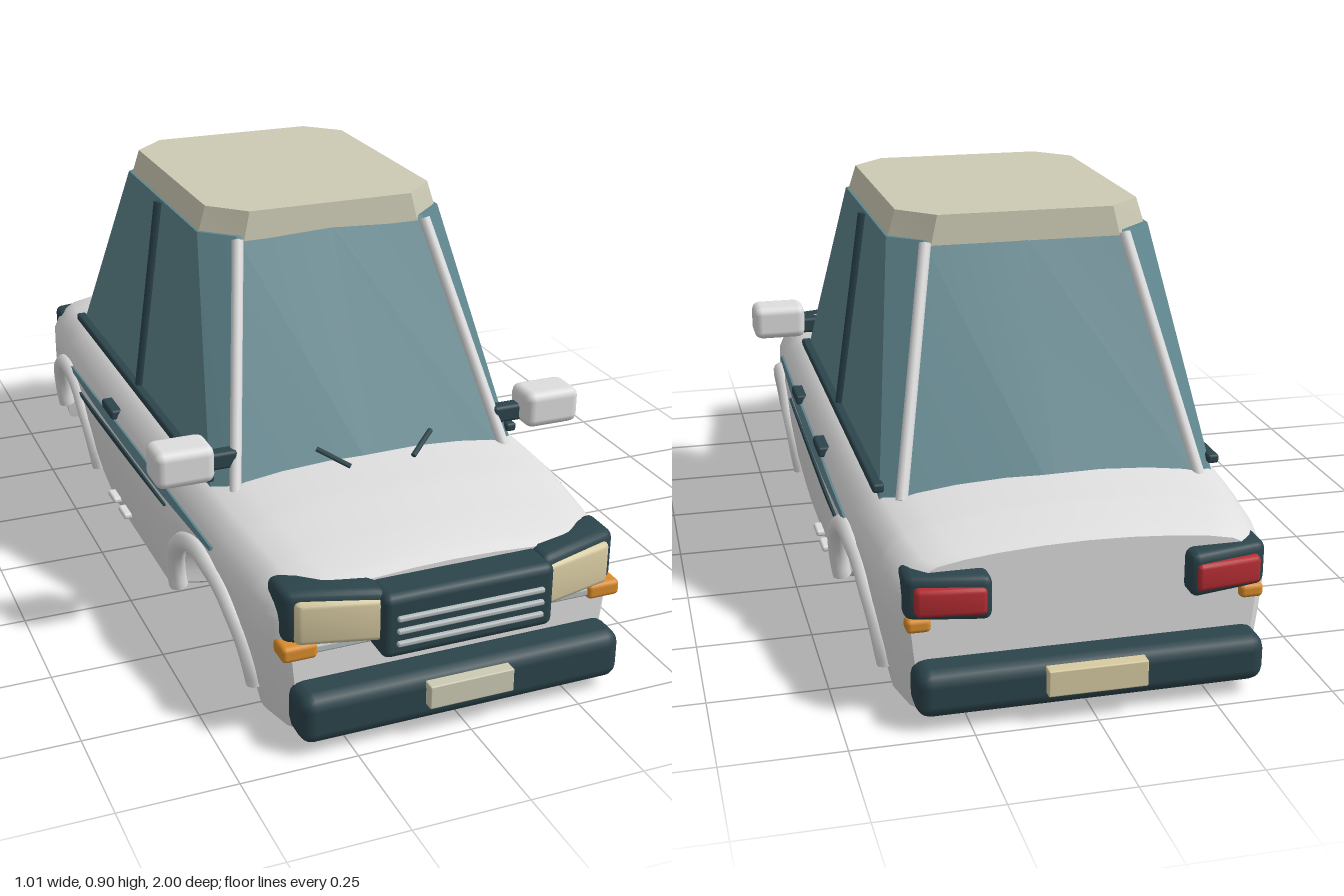
import * as THREE from 'three';
import { toCreasedNormals } from 'three/addons/utils/BufferGeometryUtils.js';
import { RoundedBoxGeometry } from 'three/addons/geometries/RoundedBoxGeometry.js';

const material = (name, color) => {
  const m = new THREE.MeshStandardMaterial({ color });
  m.name = name;
  return m;
};

// Linear lookup in a table of [key, value] pairs
function lookup(table, k) {
  let i = 1;
  while (i < table.length - 1 && k > table[i][0]) i++;
  const [a, va] = table[i - 1], [b, vb] = table[i];
  return va + (vb - va) * THREE.MathUtils.clamp((k - a) / (b - a), 0, 1);
}

// Skin a series of closed cross-sections, with capped ends
function loft(rings, crease = 0.6) {
  const n = rings[0].length, pos = [], index = [];
  rings.forEach(r => r.forEach(p => pos.push(...p)));
  for (let i = 0; i < rings.length - 1; i++) {
    for (let j = 0; j < n; j++) {
      const k = (j + 1) % n, a = i * n + j, b = i * n + k;
      index.push(a, b, a + n, b, b + n, a + n);
    }
  }
  [0, rings.length - 1].forEach(e => {
    const c = pos.length / 3;
    pos.push(...[0, 1, 2].map(d => rings[e].reduce((s, p) => s + p[d], 0) / n));
    for (let j = 0; j < n; j++) {
      const a = e * n + j, b = e * n + (j + 1) % n;
      if (e) index.push(c, a, b); else index.push(c, b, a);
    }
  });
  const g = new THREE.BufferGeometry();
  g.setAttribute('position', new THREE.Float32BufferAttribute(pos, 3));
  g.setIndex(index);
  return toCreasedNormals(g, crease);
}

// Body plan width, crown height and side curvature
const WIDTH = [[-.91, .36], [-.88, .385], [-.8, .405], [-.6, .425], [-.3, .43], [.3, .43], [.6, .425], [.8, .4], [.87, .38], [.9, .355]];
const CROWN = [[-.91, .348], [-.87, .362], [-.78, .382], [-.62, .4], [.48, .4], [.65, .393], [.8, .372], [.87, .355], [.9, .342]];
const SIDE = [[0, .93], [.1, .97], [.2, 1], [.27, 1], [.31, .965], [.345, .9], [.36, .85]];
const sideX = (z, y) => lookup(WIDTH, z) * lookup(SIDE, y);
const ARCH_Z = [-.565, .55];

function bodyGeometry() {
  const stations = [[-.91, 0], [-.895, 0], [-.88, 0], [-.84, 0], [-.795, 0]];
  const arch = c => {
    for (let k = 0; k <= 20; k++) {
      const a = Math.PI * (1 - k / 20);
      stations.push([c + .215 * Math.cos(a), .06 + .19 * Math.sin(a)]);
    }
  };
  arch(ARCH_Z[0]);
  stations.push([-.24, 0], [-.1, 0], [.1, 0], [.23, 0]);
  arch(ARCH_Z[1]);
  stations.push([.775, 0], [.8, 0], [.84, 0], [.87, 0], [.885, 0], [.9, 0]);
  return loft(stations.map(([z, yb]) => {
    const w = lookup(WIDTH, z), top = lookup(CROWN, z);
    const lift = y => y > .25 ? .25 + (y - .25) * (top - .25) / .15 : y;
    const half = [[.75 * w, yb], [sideX(z, yb + .02) * .985, yb + .015]];
    for (let k = 1; k <= 4; k++) {
      const y = yb + .015 + (.27 - yb - .015) * k / 4;
      half.push([sideX(z, y), lift(y)]);
    }
    for (const y of [.29, .31, .328, .345, .36]) half.push([sideX(z, y), lift(y)]);
    half.push([.7 * w, lift(.376)], [.5 * w, lift(.388)], [.25 * w, lift(.397)]);
    const mirrored = half.slice().reverse().map(([x, y]) => [-x, y]);
    return [[0, yb], ...half, [0, top], ...mirrored].map(([x, y]) => [x, y, z]);
  }));
}

// Eight-cornered horizontal ring with bowed front and back
function octagon(y, xEnd, xSide, zFront, zSideF, zSideR, zRear, bow = 0) {
  const half = [[xEnd, zFront], [xSide, zSideF], [xSide, zSideR], [xEnd, zRear]];
  return [[0, zFront + bow], ...half, [0, zRear - bow], ...half.slice().reverse().map(([x, z]) => [-x, z])]
    .map(([x, z]) => [x, y, z]);
}

// Narrow band that follows the side of the body
function stripeGeometry(z0, z1, y0, y1, h) {
  const rings = [];
  for (let k = 0; k <= 14; k++) {
    const t = k / 14, z = z0 + (z1 - z0) * t, y = y0 + (y1 - y0) * t;
    const r = h * (.35 + .65 * Math.sin(Math.PI * t)) / 2;
    const lo = sideX(z, y - r), hi = sideX(z, y + r);
    rings.push([[lo - .004, y - r, z], [lo + .005, y - r, z], [hi + .005, y + r, z], [hi - .004, y + r, z]]);
  }
  return loft(rings);
}

function rodGeometry(a, b, r, sides = 10) {
  const A = new THREE.Vector3(...a), B = new THREE.Vector3(...b), d = B.clone().sub(A);
  const g = new THREE.CylinderGeometry(r, r, d.length(), sides);
  g.applyQuaternion(new THREE.Quaternion().setFromUnitVectors(new THREE.Vector3(0, 1, 0), d.normalize()));
  const m = A.add(B).multiplyScalar(.5);
  return g.translate(m.x, m.y, m.z);
}

// Rounded box, optionally swept back towards its outer end
function block(w, h, d, x, y, z, radius = .01, sweep = 0) {
  let g = new RoundedBoxGeometry(w, h, d, 2, radius);
  if (sweep) {
    const p = g.attributes.position;
    for (let i = 0; i < p.count; i++) p.setZ(i, p.getZ(i) - sweep * p.getX(i));
    g = toCreasedNormals(g, .6);
  }
  return g.translate(x, y, z);
}

export function createModel() {
  const car = new THREE.Group();
  car.name = 'car';
  const paint = material('whitePaint', 0xdedede);
  const glass = material('tealGlass', 0x5e858d);
  const trim = material('darkTrim', 0x2b444b);
  const cream = material('creamRoof', 0xcccab4);
  const lamp = material('headlightCream', 0xd8cba2);
  const amber = material('amber', 0xd98c2b);
  const red = material('tailRed', 0xb52d33);
  const metal = material('paleMetal', 0xb4bcbd);

  const add = (name, geometry, mat) => {
    const m = new THREE.Mesh(geometry, mat);
    m.name = name;
    car.add(m);
    return m;
  };
  const pair = (name, geometry, mat) => {
    add(name + 'Left', geometry, mat);
    add(name + 'Right', geometry, mat).scale.x = -1;
  };

  // Shell, cabin and roof
  add('body', bodyGeometry(), paint);
  add('cabinGlass', loft([
    octagon(.34, .325, .368, .5, .455, -.63, -.665, .03),
    octagon(.85, .225, .295, .24, .175, -.36, -.415, .005)], .12), glass);
  add('roof', loft([
    octagon(.84, .21, .292, .247, .17, -.35, -.425),
    octagon(.905, .195, .272, .242, .165, -.345, -.42)], .2), cream);
  pair('frontPillar', rodGeometry([.325, .36, .495], [.226, .845, .25], .013), paint);
  pair('rearPillar', rodGeometry([.325, .36, -.655], [.222, .845, -.42], .013), paint);
  pair('centrePillar', rodGeometry([.366, .37, -.09], [.3, .845, -.095], .012, 6), trim);
  pair('beltTrim', block(.025, .02, 1.08, .368, .381, -.09, .006), trim);
  pair('wiper', rodGeometry([.075, .4, .54], [.137, .433, .495], .006, 6), trim);

  // Wheel arch lips hugging the sides
  ARCH_Z.forEach((c, i) => {
    const pts = [];
    for (let k = 0; k <= 16; k++) {
      const a = Math.PI * k / 16, z = c + .222 * Math.cos(a), y = .065 + .197 * Math.sin(a);
      pts.push(new THREE.Vector3(sideX(z, y) - .004, y, z));
    }
    const curve = new THREE.CatmullRomCurve3(pts);
    const lip = new THREE.TubeGeometry(curve, 40, .022, 10);
    pair(i ? 'frontArch' : 'rearArch', lip, paint);
    const ends = new THREE.CircleGeometry(.022, 10).rotateX(Math.PI / 2);
    [pts[0], pts[16]].forEach(p => pair('archEnd', ends.clone().translate(p.x, p.y, p.z), paint));
  });

  // Side details
  pair('upperStripe', stripeGeometry(-.53, .6, .277, .295, .022), glass);
  pair('lowerStripe', stripeGeometry(-.56, .32, .236, .268, .014), trim);
  [.228, -.155].forEach(z => pair('doorHandle', block(.03, .024, .09, .418, .308, z, .006), trim));
  [-.07, -.163].forEach(z => pair('sillPeg', block(.025, .015, .058, .417, .062, z, .006), paint));
  pair('mirrorStem', block(.09, .04, .035, .355, .428, .455, .008), trim);
  pair('mirror', block(.132, .085, .095, .439, .443, .468, .02), paint);

  // Nose
  add('frontBumper', block(.72, .11, .1, 0, .08, .928, .03), trim);
  add('frontPlate', block(.188, .052, .03, 0, .095, .985, .003), cream);
  add('grille', block(.38, .142, .1, 0, .26, .928, .018), trim);
  [.225, .253, .281].forEach(y => add('grilleBar', block(.325, .011, .014, 0, y, .98, .004), metal));
  add('noseStrip', block(.66, .018, .03, 0, .208, .9, .005), metal);
  pair('headlightHousing', block(.2, .115, .1, .272, .278, .88, .02, .3), trim);
  pair('headlight', block(.175, .094, .04, .264, .272, .921, .012, .25), lamp);
  pair('frontIndicator', block(.075, .035, .06, .343, .209, .892, .01), amber);

  // Tail
  add('rearBumper', block(.72, .1, .1, 0, .078, -.93, .03), trim);
  add('rearPlate', block(.205, .056, .03, 0, .09, -.985, .003), lamp);
  pair('tailLampHousing', block(.17, .095, .085, .288, .265, -.897, .018, -.2), trim);
  pair('tailLamp', block(.14, .058, .04, .285, .262, -.933, .01, -.12), red);
  pair('rearIndicator', block(.05, .03, .05, .345, .207, -.902, .01), amber);

  return car;
}
